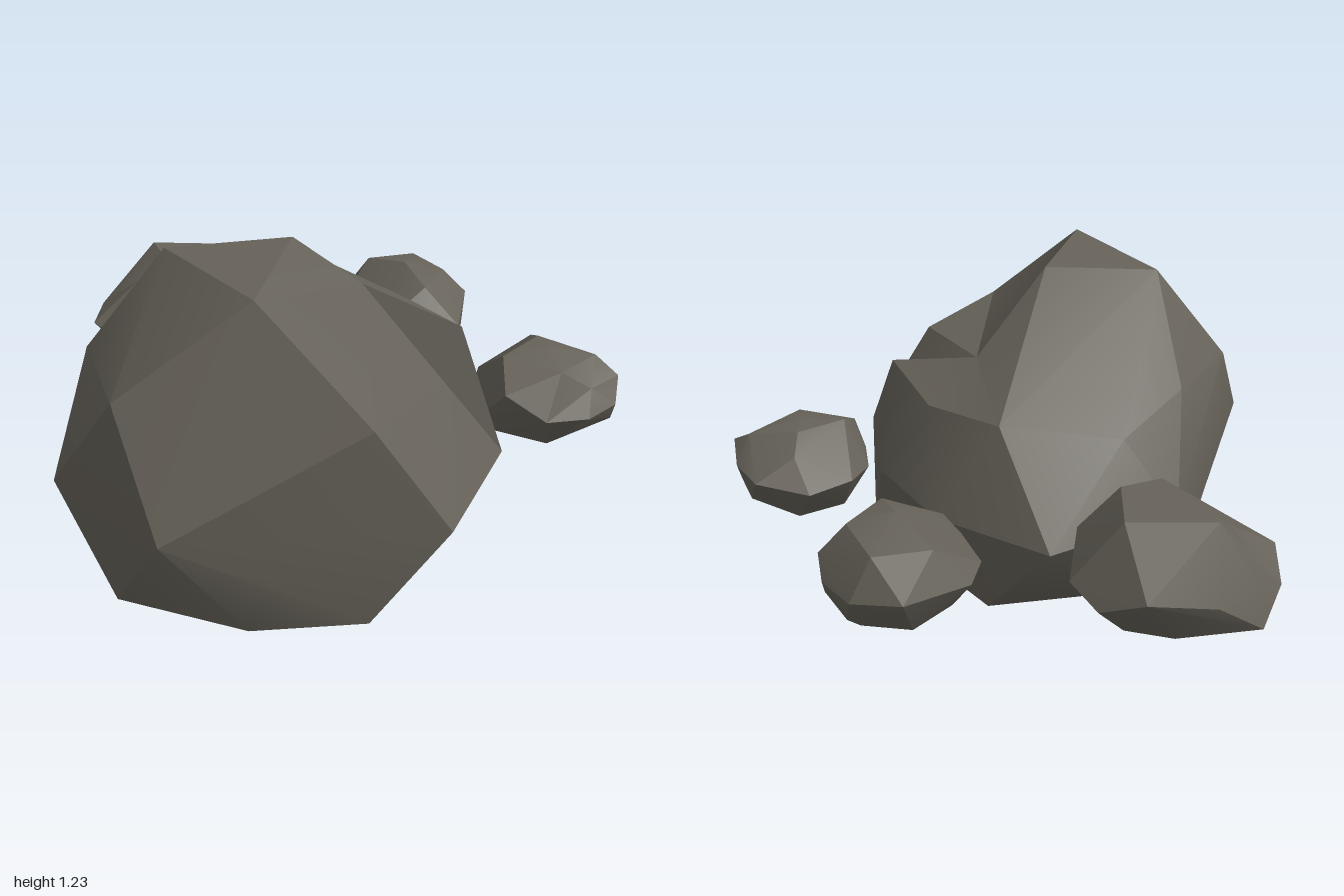
import * as THREE from 'three';
import { ConvexGeometry } from 'three/addons/geometries/ConvexGeometry.js';
import { toCreasedNormals } from 'three/addons/utils/BufferGeometryUtils.js';

const stone = new THREE.MeshStandardMaterial({ color: 0x67635a });
stone.name = 'stone';

// Faceted rock wrapped around its corner points; shallow edges are softened.
// Each dent is [hull corner, place it is pushed in to].
function rock(name, corners, dents = []) {
  const points = [...corners, ...dents.map((d) => d[0])].map((p) => new THREE.Vector3(...p));
  const hull = new ConvexGeometry(points);
  const position = hull.attributes.position;
  const v = new THREE.Vector3();
  for (const [from, to] of dents) {
    const corner = new THREE.Vector3(...from);
    for (let i = 0; i < position.count; i++) {
      v.fromBufferAttribute(position, i);
      if (v.distanceTo(corner) < 1e-4) position.setXYZ(i, ...to);
    }
  }
  hull.computeVertexNormals();
  const mesh = new THREE.Mesh(toCreasedNormals(hull, 0.42), stone);
  mesh.name = name;
  return mesh;
}

export function createModel() {
  const group = new THREE.Group();
  group.name = 'rockCluster';

  group.add(rock('boulder', [
    // crown
    [0.02, 1.21, 0.5], [0.51, 1.23, 0.53], [0.24, 1.23, 0.17],
    // shoulder
    [0.86, 0.91, 0.38], [0.28, 0.92, 0.88], [-0.12, 0.88, 0.72], [-0.29, 0.9, 0.35],
    [-0.34, 0.82, 0.05], [-0.11, 0.88, -0.29], [0.22, 0.85, -0.35], [0.55, 0.89, -0.29],
    [0.76, 0.88, 0],
    // waist
    [0.03, 0.55, 0.96], [0.52, 0.55, 0.9], [1, 0.55, 0.18], [0.8, 0.55, -0.25],
    [0.41, 0.55, -0.45], [0, 0.55, -0.48], [-0.42, 0.55, -0.32], [-0.48, 0.55, 0.18],
    // lower edge
    [0.28, 0.21, 0.91], [0.63, 0.18, 0.66], [0.87, 0.22, 0.38], [0.6, 0.22, -0.38],
    [-0.12, 0.21, -0.36], [-0.31, 0.23, -0.03], [-0.31, 0.23, 0.38],
    // foot
    [0.61, 0, 0.3], [-0.11, 0, 0.27], [0.25, 0, 0.18],
  ], [
    // ledge behind the crown, hollow above the foot, hollow underneath
    [[0.5, 1.15, -0.15], [0.23, 0.97, -0.14]],
    [[0.05, 0.02, 0.75], [-0.05, 0.22, 0.6]],
    [[0.38, 0.07, -0.08], [0.37, 0.14, -0.06]],
  ]));

  group.add(rock('rightSideRock', [
    // top
    [-0.86, 0.775, -0.02], [-0.68, 0.77, -0.24], [-0.5, 0.765, -0.1],
    [-0.52, 0.75, 0.06], [-0.68, 0.76, 0.03],
    // girth
    [-1, 0.43, 0.06], [-0.97, 0.55, 0.08], [-0.96, 0.53, 0.17], [-0.96, 0.55, -0.1],
    [-0.87, 0.6, -0.31], [-0.72, 0.52, -0.37], [-0.58, 0.56, -0.37], [-0.42, 0.62, -0.21],
    [-0.4, 0.67, 0.03], [-0.49, 0.52, 0.2], [-0.55, 0.55, 0.31], [-0.8, 0.55, 0.31],
    // underside
    [-0.84, 0.4, 0.19], [-0.58, 0.36, 0.15], [-0.67, 0.33, 0.05], [-0.44, 0.46, 0.02],
    [-0.67, 0.36, -0.22], [-0.53, 0.41, -0.2], [-0.84, 0.4, -0.16],
  ], [
    [[-0.8, 0.74, 0.19], [-0.78, 0.68, 0.11]],
    [[-0.63, 0.72, 0.2], [-0.65, 0.68, 0.13]],
  ]));

  group.add(rock('backRightRock', [
    // top
    [-0.155, 0.74, -0.72], [-0.35, 0.69, -0.71], [0, 0.7, -0.68],
    [-0.07, 0.7, -0.85], [-0.27, 0.69, -0.88],
    // girth
    [-0.41, 0.58, -0.86], [-0.26, 0.55, -0.96], [-0.09, 0.54, -0.96], [-0.02, 0.6, -0.93],
    [0.13, 0.57, -0.74], [0.08, 0.57, -0.58], [-0.03, 0.58, -0.47], [-0.13, 0.55, -0.465],
    [-0.31, 0.55, -0.51], [-0.4, 0.55, -0.61],
    // underside
    [-0.02, 0.45, -0.92], [-0.2, 0.45, -0.94], [-0.15, 0.37, -0.87], [-0.32, 0.41, -0.78],
    [-0.27, 0.4, -0.6], [-0.05, 0.38, -0.66], [0.06, 0.43, -0.76],
  ]));

  group.add(rock('backLeftRock', [
    // top
    [0.63, 0.73, -0.64], [0.55, 0.72, -0.69], [0.47, 0.67, -0.75], [0.72, 0.68, -0.8],
    [0.75, 0.7, -0.58], [0.56, 0.71, -0.5],
    // girth
    [0.38, 0.56, -0.75], [0.5, 0.6, -0.89], [0.67, 0.6, -0.88], [0.81, 0.63, -0.82],
    [0.85, 0.55, -0.77], [0.865, 0.56, -0.61], [0.79, 0.56, -0.48], [0.67, 0.64, -0.4],
    [0.6, 0.55, -0.4], [0.46, 0.55, -0.47], [0.385, 0.56, -0.58],
    // underside
    [0.81, 0.46, -0.81], [0.62, 0.48, -0.86], [0.73, 0.41, -0.74], [0.5, 0.42, -0.74],
    [0.62, 0.37, -0.64], [0.74, 0.42, -0.56], [0.6, 0.45, -0.445], [0.48, 0.42, -0.57],
  ], [
    [[0.875, 0.62, -0.69], [0.8, 0.62, -0.69]],
    [[0.61, 0.38, -0.76], [0.61, 0.45, -0.74]],
  ]));

  return group;
}
